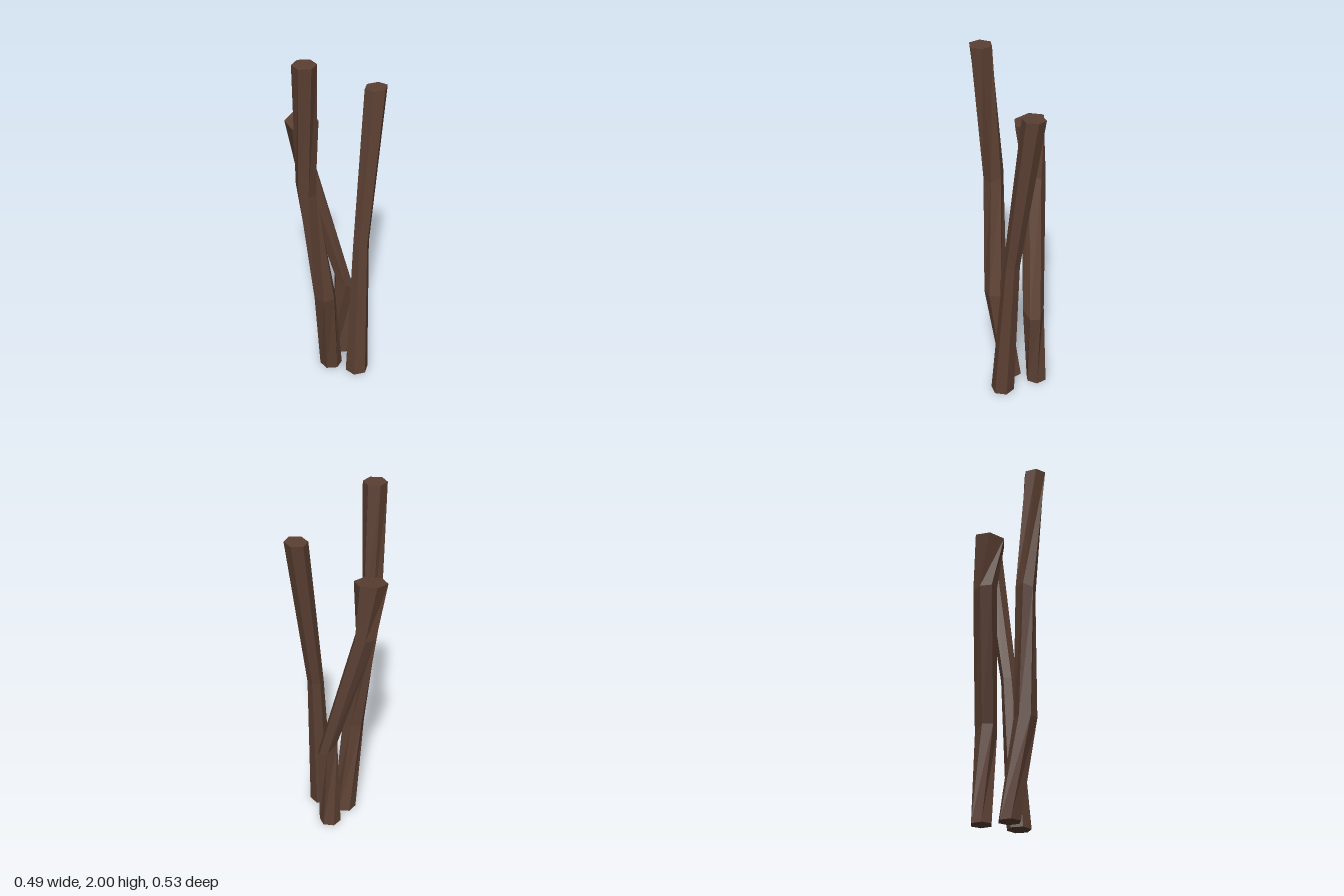
import * as THREE from 'three';

const SIDES = 6;

// Rings from bottom to top: [x, y, z, radius, turn in degrees, slope along x, slope along z]
const STICKS = {
  tallFrontStick: [
    [0.025, 0, 0.01, 0.063, 24, 0, 0],
    [0.037, 0.55, 0.1, 0.063, 4, 0, 0],
    [-0.046, 1.25, 0.152, 0.056, -15, -0.5, 0],
    [-0.017, 2, 0.203, 0.064, -35, 0, 0],
  ],
  shortBackStick: [
    [0.003, 0, -0.145, 0.061, 28, 0, 0],
    [0.026, 0.5, -0.134, 0.06, -10, -0.6, 0.6],
    [-0.162, 1.25, -0.035, 0.064, -5, 0, 0.2],
    [-0.166, 1.553, -0.003, 0.09, -30, -0.08, -0.13],
  ],
  leftStick: [
    [0.18, 0, -0.02, 0.066, 13, 0, 0],
    [0.166, 0.85, -0.072, 0.045, 13, 0, 0],
    [0.168, 1.75, -0.2, 0.063, 12, 0.08, 0],
  ],
};

function ringPoints([x, y, z, r, turn, slopeX, slopeZ]) {
  return Array.from({ length: SIDES }, (_, j) => {
    const a = THREE.MathUtils.degToRad(turn) + (j / SIDES) * Math.PI * 2;
    const dx = Math.cos(a) * r, dz = Math.sin(a) * r;
    return new THREE.Vector3(x + dx, y + dx * slopeX + dz * slopeZ, z + dz);
  });
}

// Skin the rings into a closed, faceted stick
function stickGeometry(spec) {
  const rings = spec.map(ringPoints);
  const verts = [];
  const tri = (...points) => points.forEach((p) => verts.push(p.x, p.y, p.z));
  for (let i = 0; i < rings.length - 1; i++) {
    for (let j = 0; j < SIDES; j++) {
      const k = (j + 1) % SIDES;
      tri(rings[i][j], rings[i + 1][j], rings[i][k]);
      tri(rings[i][k], rings[i + 1][j], rings[i + 1][k]);
    }
  }
  // End caps
  const bottom = rings[0], top = rings[rings.length - 1];
  for (let j = 1; j < SIDES - 1; j++) {
    tri(bottom[0], bottom[j], bottom[j + 1]);
    tri(top[0], top[j + 1], top[j]);
  }
  const geometry = new THREE.BufferGeometry();
  geometry.setAttribute('position', new THREE.Float32BufferAttribute(verts, 3));
  geometry.computeVertexNormals();
  return geometry;
}

export function createModel() {
  const group = new THREE.Group();
  group.name = 'sticks';
  const bark = new THREE.MeshStandardMaterial({ color: 0x5c4033, flatShading: true });
  for (const [name, spec] of Object.entries(STICKS)) {
    const stick = new THREE.Mesh(stickGeometry(spec), bark);
    stick.name = name;
    group.add(stick);
  }
  return group;
}
